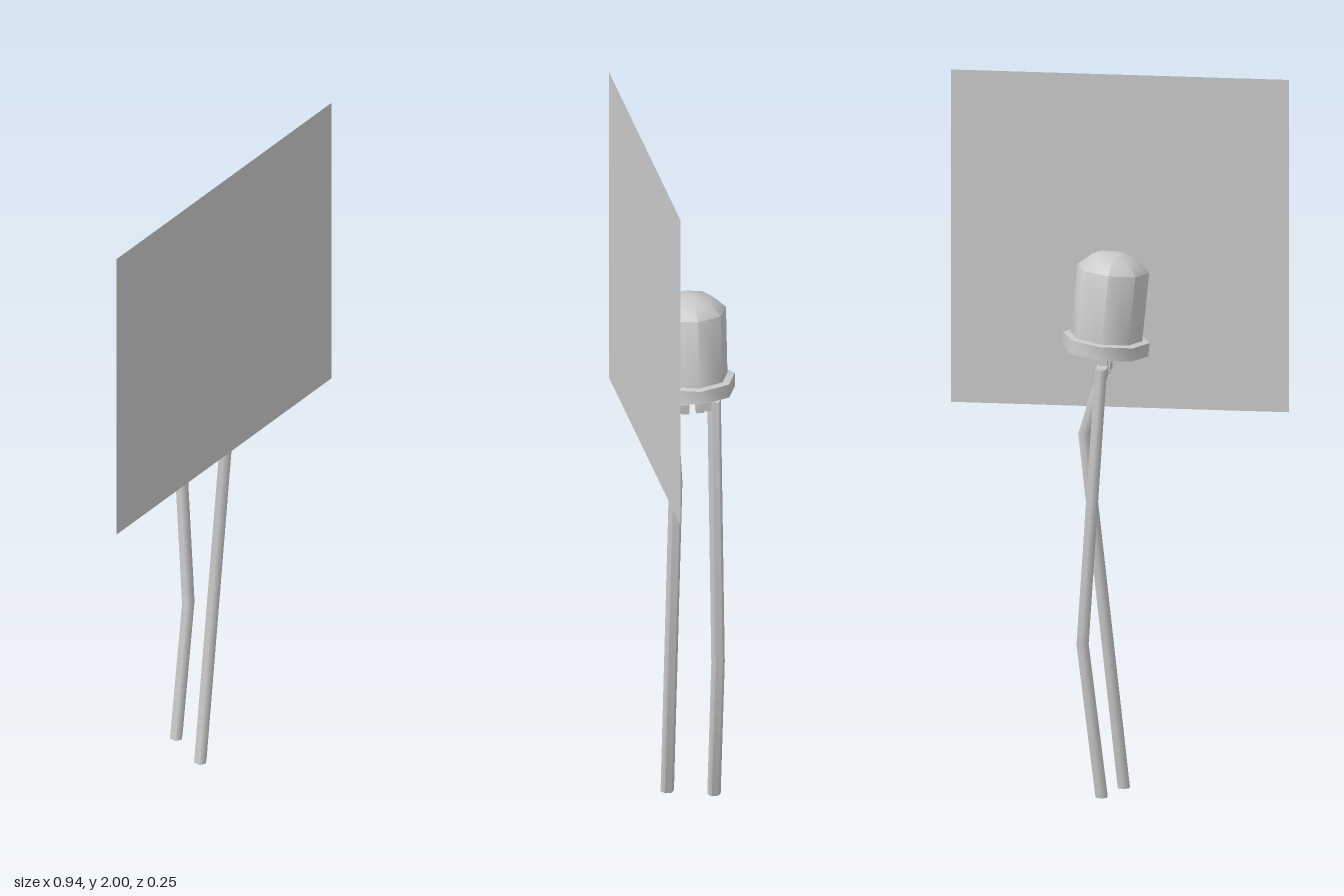
import * as THREE from 'three';
import { toCreasedNormals } from 'three/addons/utils/BufferGeometryUtils.js';

const grey = new THREE.MeshStandardMaterial({ color: 0xcccccc });
const greyDouble = new THREE.MeshStandardMaterial({ color: 0xcccccc, side: THREE.DoubleSide });

function part(name, geometry, material = grey) {
  const mesh = new THREE.Mesh(geometry, material);
  mesh.name = name;
  return mesh;
}

// Six-sided wire whose rings follow a list of [x, y] points
function wire(path) {
  const n = path.length - 1;
  const geo = new THREE.CylinderGeometry(0.019, 0.019, 1, 6, n);
  const pos = geo.attributes.position;
  for (let i = 0; i < pos.count; i++) {
    const [x, y] = path[Math.round((pos.getY(i) + 0.5) * n)];
    pos.setX(i, pos.getX(i) * 0.95 + x);
    pos.setY(i, y);
  }
  return toCreasedNormals(geo, 1.2);
}

// Bent lead with a jog inward and a pin up into the bulb
function lead(name, path, side) {
  const group = new THREE.Group();
  group.name = name;
  const leg = part('leg', wire(path));
  leg.position.z = side * 0.061;
  const jog = part('jog', new THREE.BoxGeometry(0.03, 0.025, 0.05));
  jog.position.set(0.027, 1.199, side * 0.038);
  const pin = part('pin', new THREE.BoxGeometry(0.022, 0.08, 0.02));
  pin.position.set(0.025, 1.22, side * 0.02);
  group.add(leg, jog, pin);
  group.position.z = -0.004;
  return group;
}

export function createModel() {
  const model = new THREE.Group();
  model.name = 'ledLamp';

  // Eight-sided bulb, leaning slightly towards -x
  const bulb = new THREE.Group();
  bulb.name = 'bulb';
  const profile = (pts) => toCreasedNormals(
    new THREE.LatheGeometry(pts.map(([r, y]) => new THREE.Vector2(r, y)), 8), 0.95);
  bulb.add(
    part('flange', profile([[0, 0], [0.121, 0], [0.121, 0.038], [0.09, 0.042]])),
    part('lens', profile([[0.1, 0.03], [0.1, 0.235], [0.062, 0.27], [0, 0.283]])),
  );
  bulb.position.set(0.024, 1.248, -0.004);
  bulb.rotation.z = 0.1;
  model.add(bulb);

  // Two bent leads
  model.add(
    lead('frontLead', [[-0.02, 0], [0.09, 1.0], [0.027, 1.21]], 1),
    lead('backLead', [[0.025, 0], [0.078, 0.43], [0.027, 1.21]], -1),
  );

  // Flat glow panel standing in front of the bulb
  const panel = part('glowPanel', new THREE.PlaneGeometry(0.94, 0.94), greyDouble);
  panel.position.set(0, 1.53, 0.125);
  model.add(panel);

  return model;
}
